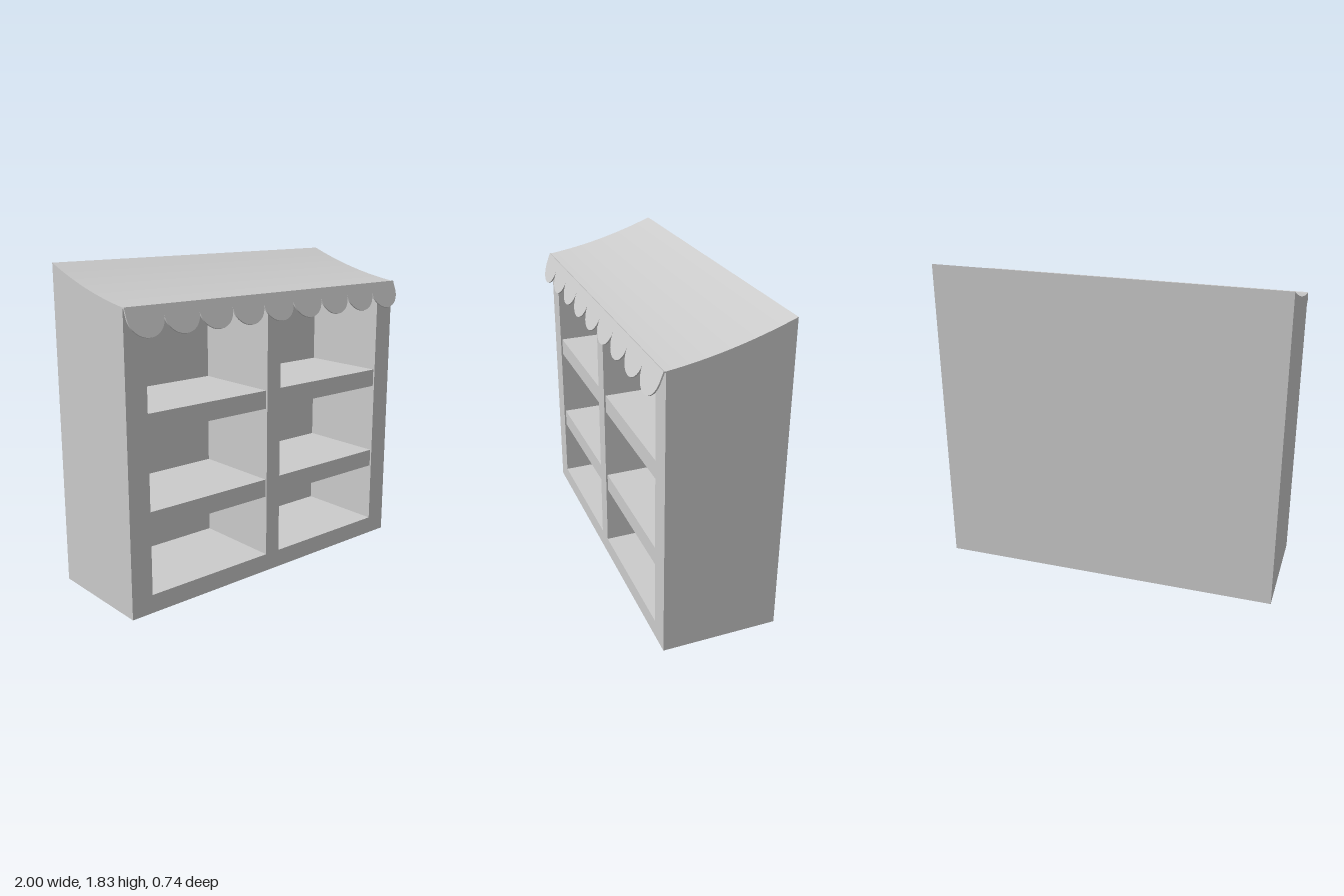
import * as THREE from 'three';

const material = new THREE.MeshStandardMaterial({ color: 0xcccccc });

function add(parent, name, geometry, x = 0, y = 0, z = 0) {
  const mesh = new THREE.Mesh(geometry, material);
  mesh.name = name;
  mesh.position.set(x, y, z);
  parent.add(mesh);
  return mesh;
}

function rectangle(target, x0, y0, x1, y1) {
  target.moveTo(x0, y0);
  target.lineTo(x1, y0);
  target.lineTo(x1, y1);
  target.lineTo(x0, y1);
  target.closePath();
  return target;
}

export function createModel() {
  const group = new THREE.Group();
  group.name = 'awningShelf';

  const bodyTop = 1.65, back = -0.37, front = 0.30, wall = -0.24;
  const inner = 0.05, outer = 0.87;

  // Cabinet frame with two bays
  const frame = rectangle(new THREE.Shape(), -1, 0, 1, bodyTop);
  for (const [x0, x1] of [[-outer, -inner], [inner, outer]]) {
    frame.holes.push(rectangle(new THREE.Path(), x0, 0.105, x1, 1.6));
  }
  add(group, 'cabinetFrame',
    new THREE.ExtrudeGeometry(frame, { depth: front - wall, bevelEnabled: false }), 0, 0, wall);

  // Solid back
  add(group, 'backPanel', new THREE.BoxGeometry(2, bodyTop, wall - back),
    0, bodyTop / 2, (back + wall) / 2);

  // Two shelves in each bay, set just behind the frame
  const shelfDepth = front - wall - 0.01;
  for (const side of [-1, 1]) {
    for (const y of [0.518, 1.05]) {
      add(group, 'shelf', new THREE.BoxGeometry(outer - inner, 0.106, shelfDepth),
        side * (inner + outer) / 2, y, wall + shelfDepth / 2);
    }
  }

  // Roof wedge with a sagging top, profile drawn in (-z, y)
  const roof = new THREE.Shape();
  roof.moveTo(-0.31, bodyTop);
  roof.lineTo(-back, bodyTop);
  roof.lineTo(-back, 1.83);
  roof.quadraticCurveTo(0.03, 1.698, -0.31, 1.655);
  roof.closePath();
  const roofGeometry = new THREE.ExtrudeGeometry(roof,
    { depth: 2, bevelEnabled: false, curveSegments: 16 });
  roofGeometry.rotateY(Math.PI / 2);
  add(group, 'roof', roofGeometry, -1, 0, 0);

  // Scalloped valance, hanging and tilted forward
  const count = 9, radius = 1 / count, band = 0.054, drop = 0.108;
  const valance = new THREE.Shape();
  valance.moveTo(1, 0);
  valance.lineTo(-1, 0);
  valance.lineTo(-1, -band);
  for (let i = 0; i < count; i++) {
    valance.absellipse(-1 + radius * (2 * i + 1), -band, radius, drop, Math.PI, 2 * Math.PI, false);
  }
  valance.closePath();
  const valanceMesh = add(group, 'valance',
    new THREE.ExtrudeGeometry(valance, { depth: 0.008, bevelEnabled: false, curveSegments: 20 }),
    0, 1.655, 0.304);
  valanceMesh.rotation.x = -Math.atan2(0.058, 0.153);

  return group;
}
